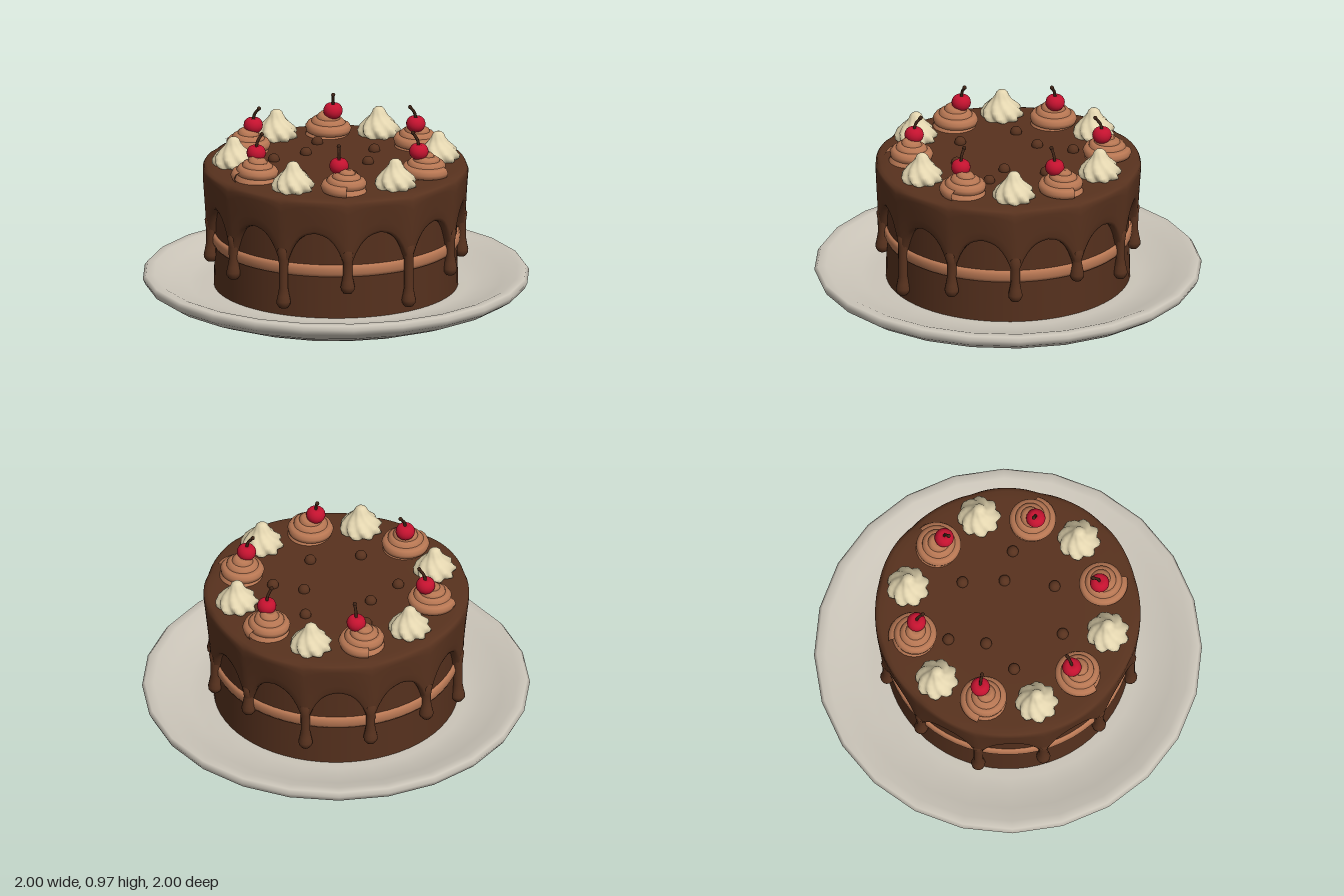
import * as THREE from 'three';
import { mergeVertices } from 'three/addons/utils/BufferGeometryUtils.js';

const mat = (name, color, side = THREE.FrontSide) => {
  const m = new THREE.MeshStandardMaterial({ color, side });
  m.name = name;
  return m;
};
const RAD = Math.PI / 180;
const lathe = (pts, seg) => new THREE.LatheGeometry(pts.map(p => new THREE.Vector2(p[0], p[1])), seg);

// Move every vertex by a rule, then weld the seam and smooth the normals
function reshape(geo, rule) {
  const p = geo.attributes.position, v = new THREE.Vector3();
  for (let i = 0; i < p.count; i++) {
    rule(v.fromBufferAttribute(p, i));
    p.setXYZ(i, v.x, v.y, v.z);
  }
  geo.deleteAttribute('uv');
  geo.deleteAttribute('normal');
  const out = mergeVertices(geo, 1e-5);
  out.computeVertexNormals();
  return out;
}

// Lower edge of the icing: pointed arches between twelve drips
function icingEdge(angle) {
  const f = angle / (30 * RAD) - 0.5;
  const u = 2 * Math.abs(f - Math.round(f));
  return 0.548 - 0.03 * (1 - u) - 0.2 * Math.pow(1 - u, 3);
}

// Shell profile holds radius and height share (0 = lower edge, 1 = top)
function icingGeometry() {
  const profile = [[0.615, 0.04], [0.64, 0], [0.658, 0.02], [0.666, 0.1], [0.672, 0.3], [0.678, 0.55],
    [0.684, 0.8], [0.684, 0.9], [0.677, 0.955], [0.66, 0.985], [0.62, 1], [0.4, 1], [0, 1]];
  return reshape(lathe(profile, 192), v => {
    const a = Math.atan2(v.x, v.z), e = icingEdge(a), t = v.y;
    const wobble = 1 + 0.008 * t * Math.sin(3 * a + 1) + 0.005 * t * Math.sin(7 * a);
    v.x *= wobble;
    v.z *= wobble;
    v.y = e + t * (0.738 - e);
  });
}

function dripGeometry(b) {
  return lathe([[0, b], [0.022, b + 0.007], [0.035, b + 0.025], [0.037, b + 0.042], [0.031, b + 0.07],
    [0.024, b + 0.11], [0.025, 0.4], [0.032, 0.45], [0, 0.5]], 14);
}

// Piped swirl: a tapering coil that climbs to the middle
function swirlGeometry() {
  const pts = [];
  for (let i = 0; i <= 60; i++) {
    const t = i / 60, a = t * 3.2 * 2 * Math.PI, r = 0.092 * (1 - t) + 0.012;
    pts.push(new THREE.Vector3(r * Math.cos(a), 0.022 + 0.075 * t, r * Math.sin(a)));
  }
  return new THREE.TubeGeometry(new THREE.CatmullRomCurve3(pts), 120, 0.03, 8);
}

// Star-piped dollop: a cone with eight twisted ridges
function dollopGeometry() {
  const profile = [[0.08, -0.005], [0.1, 0.01], [0.103, 0.03], [0.092, 0.055], [0.07, 0.08],
    [0.05, 0.1], [0.037, 0.12], [0.03, 0.138], [0.018, 0.149], [0, 0.153]];
  return reshape(lathe(profile, 64), v => {
    const a = Math.atan2(v.x, v.z);
    const k = 1 + 0.12 * Math.cos(8 * (a + v.y * 9)) * Math.max(0, 1 - v.y / 0.15);
    v.x *= k;
    v.z *= k;
  });
}

export function createModel() {
  const model = new THREE.Group();
  model.name = 'chocolateCake';
  const plateMat = mat('plate stone', 0xcbc5b9);
  const spongeMat = mat('chocolate sponge', 0x55301d);
  const icingMat = mat('chocolate icing', 0x58321e, THREE.DoubleSide);
  const mochaMat = mat('mocha cream', 0xb87753);
  const creamMat = mat('vanilla cream', 0xe4d6b0);
  const cherryMat = mat('cherry red', 0xc4122f);
  const stemMat = mat('stem brown', 0x3f2416);

  const add = (name, geo, material, parent = model) => {
    const m = new THREE.Mesh(geo, material);
    m.name = name;
    parent.add(m);
    return m;
  };
  // Local +x of a placed group points away from the cake centre
  const place = (name, radius, degrees, y) => {
    const g = new THREE.Group();
    g.name = name;
    g.position.set(radius * Math.cos(degrees * RAD), y, radius * Math.sin(degrees * RAD));
    g.rotation.y = -degrees * RAD;
    model.add(g);
    return g;
  };

  // Plate
  add('plate', lathe([[0.74, 0], [0.84, 0.035], [0.93, 0.07], [0.985, 0.105], [1, 0.135], [0.985, 0.155],
    [0.94, 0.155], [0.86, 0.125], [0.76, 0.098], [0.68, 0.09], [0, 0.09]], 24), plateMat);
  add('plateBase', new THREE.CircleGeometry(0.74, 24).rotateX(Math.PI / 2), plateMat);

  // Sponge layers and filling
  add('lowerSponge', new THREE.CylinderGeometry(0.625, 0.63, 0.23, 64).translate(0, 0.2, 0), spongeMat);
  add('upperSponge', new THREE.CylinderGeometry(0.625, 0.625, 0.34, 64).translate(0, 0.54, 0), spongeMat);
  add('filling', lathe([[0.6, 0.308], [0.632, 0.313], [0.64, 0.33], [0.641, 0.355], [0.634, 0.374], [0.6, 0.38]], 64), mochaMat);

  // Icing and drips, each drip with its own lowest point
  add('icing', icingGeometry(), icingMat);
  const dripEnds = [0.12, 0.21, 0.21, 0.28, 0.185, 0.21, 0.24, 0.14, 0.22, 0.22, 0.13, 0.225];
  dripEnds.forEach((end, i) => {
    const a = (15 + 30 * i) * RAD;
    add('drip', dripGeometry(end), icingMat).position.set(0.648 * Math.sin(a), 0, 0.648 * Math.cos(a));
  });

  // Ring of swirls with cherries, alternating with dollops
  const swirl = swirlGeometry();
  const core = lathe([[0.115, -0.01], [0.1, 0.025], [0.05, 0.075], [0, 0.115]], 24);
  const dollop = dollopGeometry();
  const cherry = reshape(new THREE.SphereGeometry(0.05, 20, 14), v => {
    const r = Math.hypot(v.x, v.z);
    if (v.y > 0) v.y -= 0.014 * Math.exp(-r * r / 0.0004);
    v.y *= 0.92;
  });
  const stem = new THREE.TubeGeometry(new THREE.CatmullRomCurve3([new THREE.Vector3(0, 0.025, 0),
    new THREE.Vector3(-0.008, 0.06, 0), new THREE.Vector3(-0.034, 0.094, 0)]), 8, 0.008, 6);
  const stemTip = new THREE.SphereGeometry(0.011, 8, 6).translate(-0.034, 0.094, 0);
  for (let i = 0; i < 6; i++) {
    const s = place('swirl', 0.505, 45 + 60 * i, 0.738);
    add('swirlCoil', swirl, mochaMat, s);
    add('swirlCore', core, mochaMat, s);
    const c = place('cherry', 0.484, 48.5 + 60 * i, 0.868);
    add('cherryFruit', cherry, cherryMat, c);
    add('cherryStem', stem, stemMat, c);
    add('cherryStemTip', stemTip, stemMat, c);
    add('dollop', dollop, creamMat, place('dollopSpot', 0.53, 15 + 60 * i, 0.738));
  }

  // Chocolate pearls on top
  const pearl = new THREE.SphereGeometry(0.03, 14, 10);
  [[0.025, -0.345], [-0.095, -0.19], [-0.29, -0.14], [0.255, -0.12], [0.15, -0.07 + 0.14],
    [0.265, 0.19], [-0.255, 0.175], [-0.01, 0.275]].forEach(([x, z]) => {
    add('pearl', pearl, icingMat).position.set(x, 0.745, z);
  });
  return model;
}
